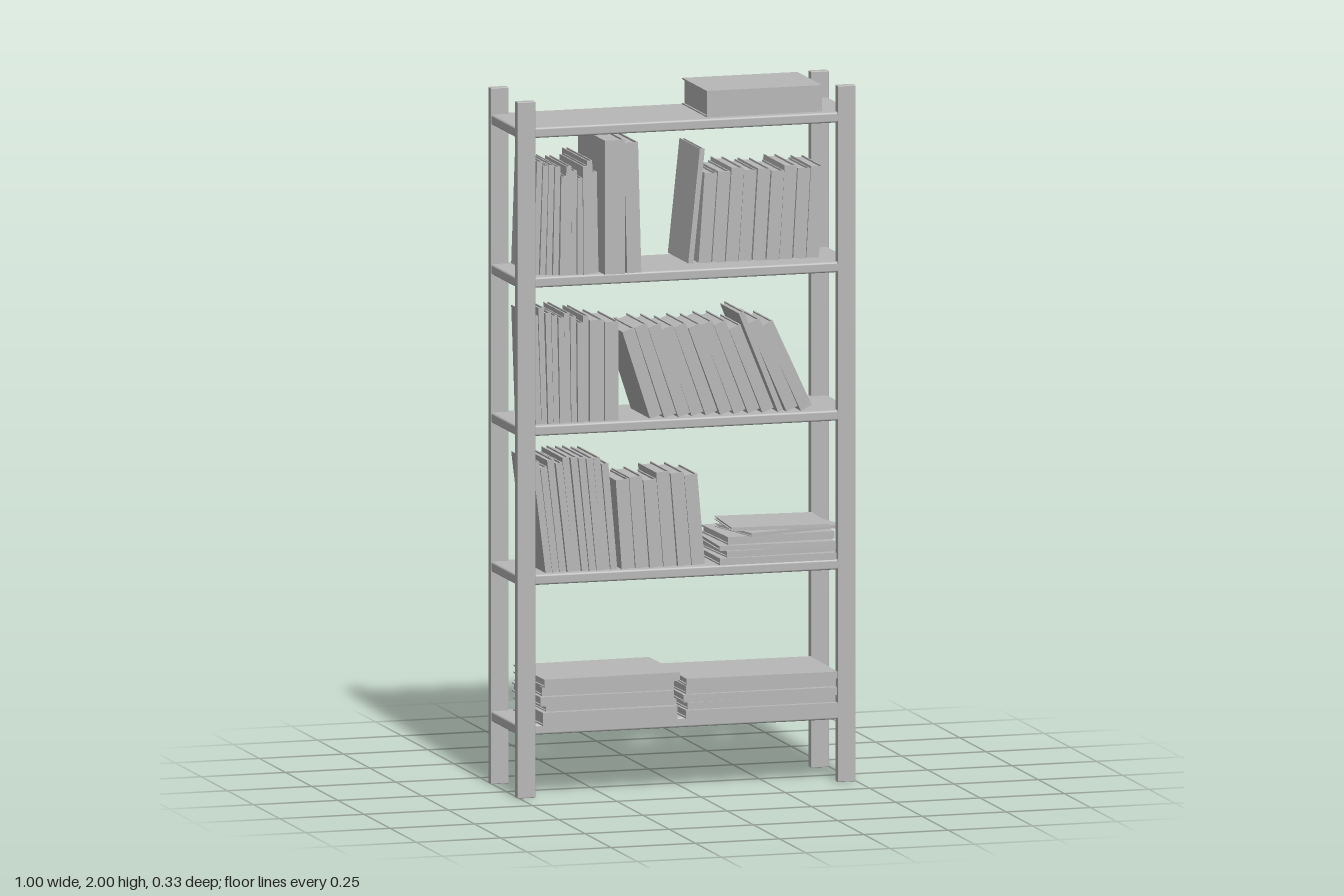
import * as THREE from 'three';
import { RoundedBoxGeometry } from 'three/addons/geometries/RoundedBoxGeometry.js';

export function createModel() {
  const model = new THREE.Group();
  model.name = 'bookshelf';
  const grey = new THREE.MeshStandardMaterial({ color: 0xb8b8b8 });
  grey.name = 'grey';

  // Repeatable size variation
  let seed = 7;
  const vary = (amount) => {
    seed = (seed * 16807) % 2147483647;
    return (seed / 2147483647 - 0.5) * 2 * amount;
  };

  const box = (parent, name, x0, x1, y0, y1, z0, z1, r = 0) => {
    const size = [x1 - x0, y1 - y0, z1 - z0];
    const geo = r ? new RoundedBoxGeometry(...size, 2, r) : new THREE.BoxGeometry(...size);
    const mesh = new THREE.Mesh(geo, grey);
    mesh.position.set((x0 + x1) / 2, (y0 + y1) / 2, (z0 + z1) / 2);
    mesh.name = name;
    parent.add(mesh);
  };

  // Book standing on y = 0 from x = 0 to w, spine at z = 0, pages toward -z
  const makeBook = (w, h, d) => {
    const book = new THREE.Group();
    book.name = 'book';
    const c = Math.min(0.004, w * 0.2), inset = 0.005;
    box(book, 'leftCover', 0, c, 0, h, -d, -c);
    box(book, 'rightCover', w - c, w, 0, h, -d, -c);
    box(book, 'spine', 0, w, 0, h, -c, 0);
    box(book, 'pages', c, w - c, inset, h - inset, -d + inset, -c);
    return book;
  };

  const standing = (x, y, z, w, h, d, tilt) => {
    const book = makeBook(w, h, d);
    const a = THREE.MathUtils.degToRad(tilt);
    book.rotation.z = a;
    book.position.set(x, y + (a < 0 ? -w * Math.sin(a) : 0), z);
    model.add(book);
  };

  // Row of leaning books; positive tilt leans toward -x
  const row = ({ y, x0, x1, n, h, dh, z, d, dz = 0, t0, t1 = t0 }) => {
    const step = (x1 - x0) / n;
    for (let i = 0; i < n; i++) {
      const tilt = t0 + ((t1 - t0) * i) / Math.max(1, n - 1);
      const w = step * Math.cos(THREE.MathUtils.degToRad(tilt)) * 0.93;
      standing(x0 + i * step, y, z + vary(dz), w, h + vary(dh), d + vary(dz), tilt);
    }
  };

  // Flat pile: each entry is [x0, x1, z0, z1, thickness, turn in degrees]
  const pile = (y, entries) => {
    for (const [x0, x1, z0, z1, t, turn] of entries) {
      const pivot = new THREE.Group();
      pivot.name = 'flatBook';
      const book = makeBook(t, x1 - x0, z1 - z0);
      book.rotation.z = Math.PI / 2;
      book.position.set((x1 - x0) / 2, 0, (z1 - z0) / 2);
      pivot.add(book);
      pivot.position.set((x0 + x1) / 2, y, (z0 + z1) / 2);
      pivot.rotation.y = THREE.MathUtils.degToRad(turn);
      model.add(pivot);
      y += t + 0.001;
    }
  };

  // Corner posts
  for (const [x0, x1] of [[-0.505, -0.452], [0.445, 0.498]])
    for (const [z0, z1] of [[0.098, 0.124], [-0.158, -0.132]])
      box(model, 'post', x0, x1, 0, 2, z0, z1, 0.002);

  // Shelves
  const shelfTops = [0.21, 0.64, 1.068, 1.494, 1.924];
  for (const top of shelfTops)
    box(model, 'shelf', -0.503, 0.496, top - 0.03, top, -0.156, 0.122, 0.006);
  const [s1, s2, s3, s4, s5] = shelfTops;

  // Large book on the top shelf
  pile(s5, [[0.065, 0.407, -0.14, 0.095, 0.076, 0]]);

  // Upper row
  row({ y: s4, x0: -0.445, x1: -0.255, n: 11, h: 0.3, dh: 0.03, z: 0.1, d: 0.22, dz: 0.02, t0: -2, t1: 1 });
  standing(-0.25, s4, 0.135, 0.06, 0.385, 0.255, 0);
  standing(-0.182, s4, 0.13, 0.042, 0.375, 0.25, 1.5);
  standing(0.03, s4, 0.03, 0.015, 0.33, 0.195, -6);
  row({ y: s4, x0: 0.06, x1: 0.42, n: 9, h: 0.265, dh: 0.01, z: 0.034, d: 0.198, dz: 0.005, t0: -4, t1: -3 });

  // Middle row
  row({ y: s3, x0: -0.443, x1: -0.285, n: 9, h: 0.31, dh: 0.03, z: 0.1, d: 0.2, dz: 0.005, t0: 2, t1: 0 });
  row({ y: s3, x0: -0.283, x1: -0.195, n: 2, h: 0.287, dh: 0.004, z: 0.1, d: 0.19, t0: 0 });
  row({ y: s3, x0: -0.105, x1: 0.27, n: 9, h: 0.272, dh: 0.008, z: 0.1, d: 0.18, dz: 0.004, t0: 18, t1: 22 });
  standing(0.275, s3, 0.1, 0.016, 0.312, 0.18, 22);
  row({ y: s3, x0: 0.3, x1: 0.385, n: 2, h: 0.278, dh: 0.005, z: 0.1, d: 0.18, t0: 24, t1: 25 });

  // Lower row
  row({ y: s2, x0: -0.415, x1: -0.2, n: 10, h: 0.315, dh: 0.018, z: 0.1, d: 0.205, dz: 0.005, t0: 7, t1: 5 });
  row({ y: s2, x0: -0.19, x1: 0.062, n: 6, h: 0.255, dh: 0.018, z: 0.1, d: 0.17, dz: 0.005, t0: 4, t1: 5 });

  // Piles of flat books
  pile(s2, [
    [0.095, 0.44, -0.12, 0.125, 0.02, 0],
    [0.11, 0.435, -0.13, 0.115, 0.018, 3],
    [0.1, 0.44, -0.11, 0.12, 0.014, -2],
    [0.12, 0.44, -0.13, 0.1, 0.022, 2],
    [0.16, 0.46, -0.11, 0.09, 0.01, 14],
    [0.15, 0.435, -0.12, 0.09, 0.01, -4],
  ]);
  pile(s1, [
    [-0.44, -0.04, -0.13, 0.155, 0.038, 0],
    [-0.43, -0.04, -0.13, 0.14, 0.016, 1],
    [-0.445, -0.05, -0.125, 0.15, 0.026, 0],
    [-0.435, -0.045, -0.135, 0.14, 0.026, -1],
    [-0.44, -0.035, -0.12, 0.155, 0.024, 1.5],
  ]);
  pile(s1, [
    [-0.015, 0.435, -0.13, 0.155, 0.024, 0],
    [-0.01, 0.43, -0.135, 0.145, 0.02, 0.5],
    [-0.02, 0.435, -0.13, 0.15, 0.022, -0.5],
    [-0.015, 0.43, -0.14, 0.14, 0.024, 1],
    [-0.01, 0.435, -0.12, 0.155, 0.02, -1],
  ]);

  return model;
}
